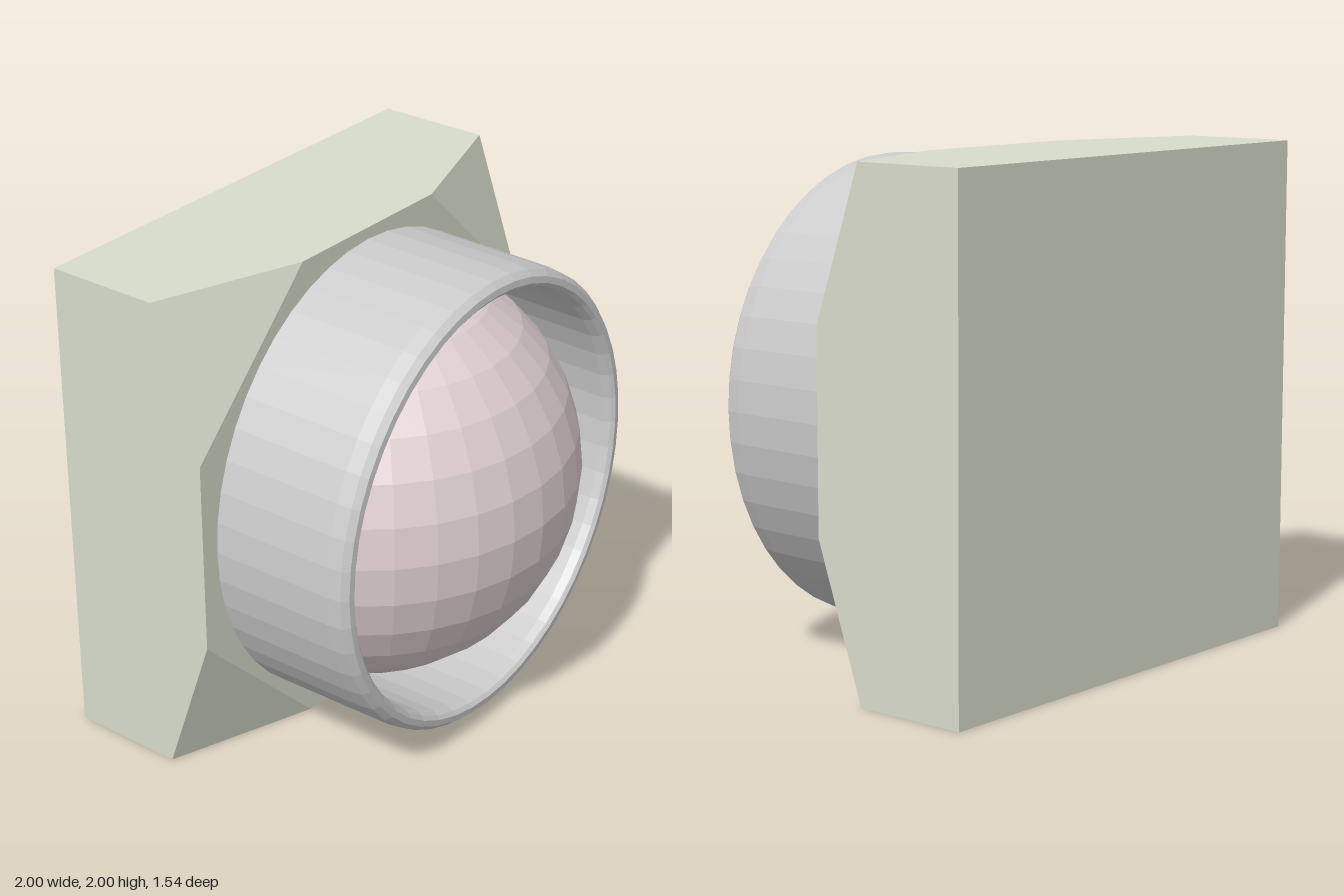
import * as THREE from 'three';
import { ConvexGeometry } from 'three/addons/geometries/ConvexGeometry.js';

const material = (color, side = THREE.FrontSide) =>
  new THREE.MeshStandardMaterial({ color, flatShading: true, side });

function part(name, geometry, mat) {
  const mesh = new THREE.Mesh(geometry, mat);
  mesh.name = name;
  return mesh;
}

export function createModel() {
  const group = new THREE.Group();
  group.name = 'domeLamp';

  // Square mounting block with its four front corners cut away
  const corners = [];
  for (const sx of [-1, 1]) {
    for (const sy of [-1, 1]) {
      corners.push(
        new THREE.Vector3(sx, 1 + sy, -0.77),
        new THREE.Vector3(sx, 1 + sy, -0.295),
        new THREE.Vector3(sx, 1 + sy * 0.395, -0.085),
        new THREE.Vector3(sx * 0.395, 1 + sy, -0.085)
      );
    }
  }
  group.add(part('mountingBlock', new ConvexGeometry(corners), material(0xd8dccc)));

  // Slightly oval collar with a bevelled rim: radius, depth
  const profile = [
    [0.915, -0.078], [0.909, 0.44], [0.902, 0.5], [0.88, 0.525], [0.855, 0.528],
    [0.84, 0.515], [0.828, 0.48], [0.835, -0.078], [0.915, -0.078]
  ].map(([r, z]) => new THREE.Vector2(r, z));
  const collar = new THREE.LatheGeometry(profile, 48);
  collar.rotateX(Math.PI / 2);
  collar.scale(1, 1.043, 1);
  collar.translate(-0.015, 1.003, 0);
  group.add(part('collar', collar, material(0xcccccc)));

  // Half-sphere lens with its poles at top and bottom
  const lens = new THREE.SphereGeometry(0.853, 16, 16, 0, Math.PI);
  lens.translate(-0.015, 1, -0.085);
  group.add(part('lens', lens, material(0xe0d0d2, THREE.DoubleSide)));

  return group;
}
